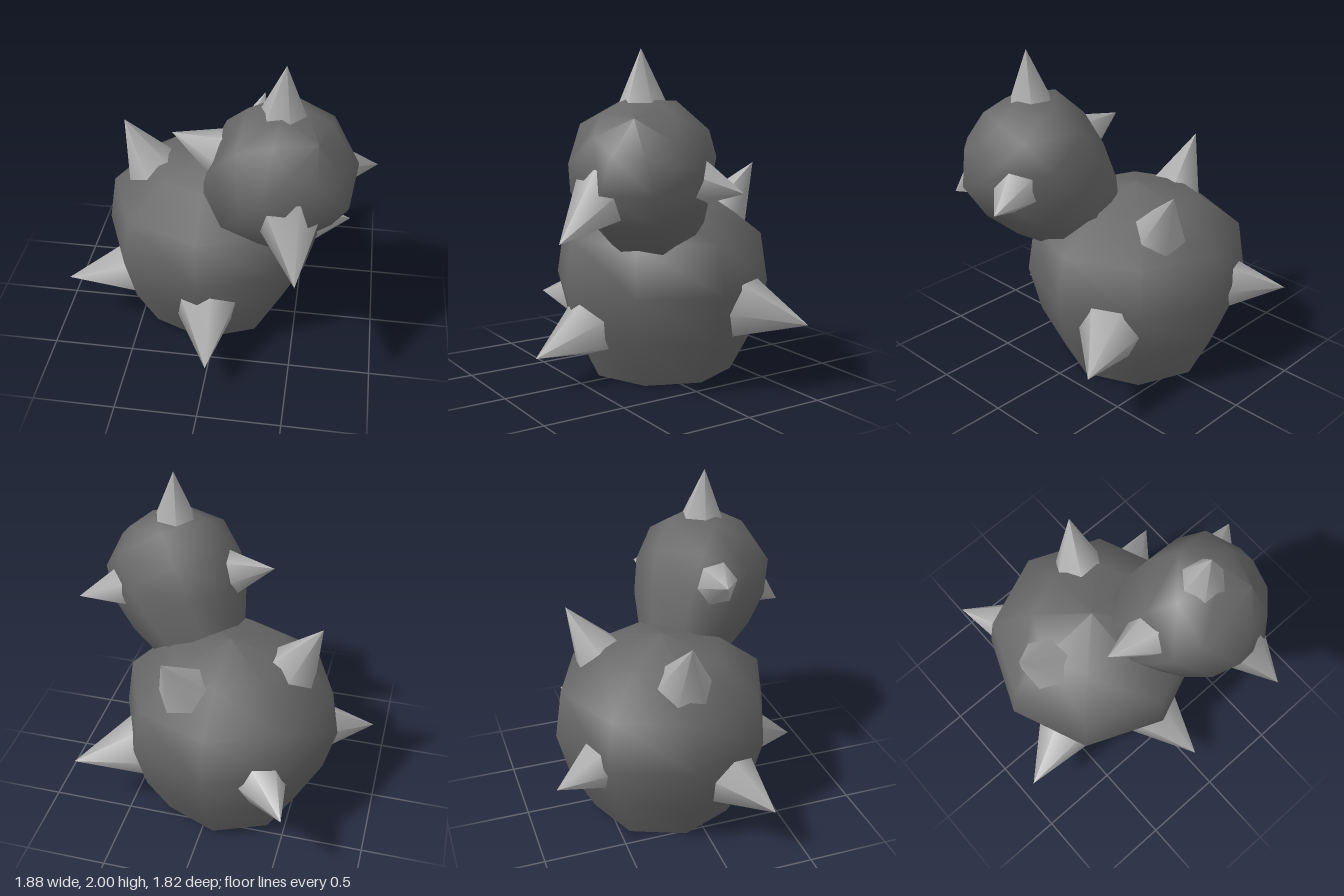
import * as THREE from 'three';

export function createModel() {
  const model = new THREE.Group();
  const hide = new THREE.MeshStandardMaterial({ color: 0x676767, side: THREE.DoubleSide });
  hide.name = 'dark grey hide';
  const horn = new THREE.MeshStandardMaterial({ color: 0xacacac, side: THREE.DoubleSide });
  horn.name = 'light grey horn';
  const up = new THREE.Vector3(0, 1, 0);

  const add = (name, geometry, material) => {
    const mesh = new THREE.Mesh(geometry, material);
    mesh.name = name;
    model.add(mesh);
    return mesh;
  };

  // Eight-sided dome, open underneath: scaled in radius and height
  const dome = (radial, vertical) => new THREE.LatheGeometry(
    [[0.455, 0], [0.605, 0.29], [0.68, 0.58], [0.635, 0.88], [0.37, 1.08], [0, 1.17]]
      .map(([r, y]) => new THREE.Vector2(r * radial, y * vertical)), 8);

  add('body', dome(1, 1), hide).position.set(-0.07, 0, -0.12);

  // Head: a smaller, taller dome leaning forward, its open end sunk into the body
  const lean = new THREE.Vector3(0.45, 0.68, 0.41).normalize();
  const head = add('head', dome(0.625, 0.75), hide);
  head.quaternion.setFromUnitVectors(up, lean);
  head.rotateY(Math.PI / 8);
  head.position.set(0.38, 1.30, 0.29).addScaledVector(lean, -0.58 * 0.75);

  // Six-sided hollow spikes: name, base centre, tip, base radius, twist in degrees
  const spikes = [
    ['bodyRightSpike', [-0.54, 0.39, 0.14], [-0.94, 0.36, 0.28], 0.195, 0],
    ['bodyFrontSpike', [-0.03, 0.34, 0.41], [0.02, 0.21, 0.81], 0.2, 0],
    ['bodyLeftSpike', [0.44, 0.455, -0.39], [0.82, 0.39, -0.58], 0.2, 30],
    ['bodyBackSpike', [-0.39, 0.54, -0.63], [-0.56, 0.54, -0.91], 0.15, 0],
    ['upperRightSpike', [-0.45, 1.01, -0.11], [-0.62, 1.33, -0.12], 0.17, 0],
    ['upperBackSpike', [0.12, 1.00, -0.47], [0.20, 1.30, -0.64], 0.165, 30],
    ['crownSpike', [0.39, 1.62, 0.30], [0.40, 2.0, 0.32], 0.17, 20],
    ['noseSpike', [0.46, 1.21, 0.59], [0.53, 0.98, 0.91], 0.19, 0],
    ['headLeftSpike', [0.67, 1.28, 0.13], [0.94, 1.23, 0.01], 0.15, 0],
    ['headRightSpike', [0.04, 1.39, 0.26], [-0.25, 1.48, 0.23], 0.15, 0],
  ];
  for (const [name, base, tip, radius, twist] of spikes) {
    const from = new THREE.Vector3(...base);
    const to = new THREE.Vector3(...tip);
    const axis = to.clone().sub(from);
    const cone = new THREE.ConeGeometry(radius, axis.length(), 6, 1, true);
    const spike = add(name, cone, horn);
    spike.position.copy(from).add(to).multiplyScalar(0.5);
    spike.quaternion.setFromUnitVectors(up, axis.normalize());
    spike.rotateY(THREE.MathUtils.degToRad(twist));
  }
  return model;
}
